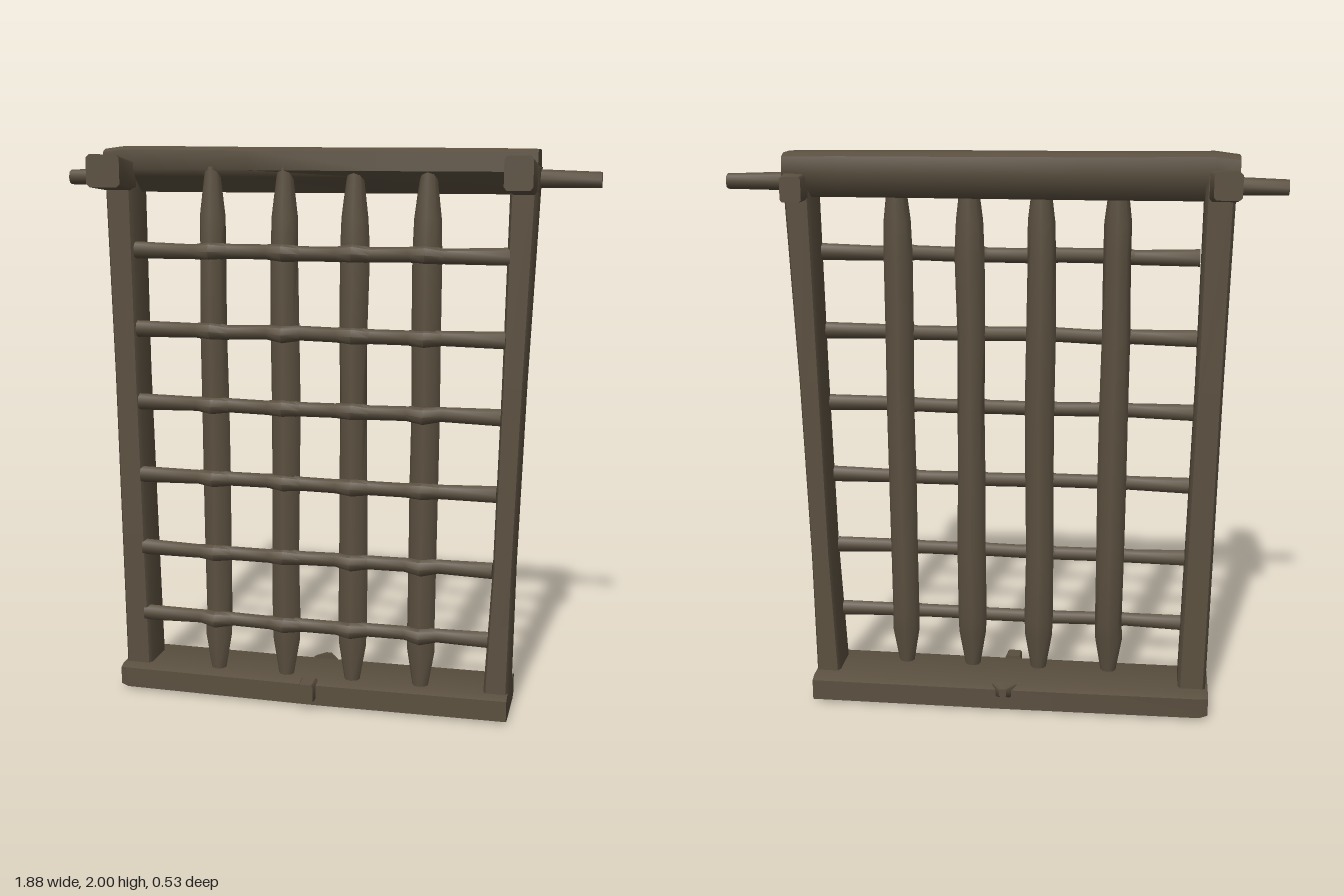
import * as THREE from 'three';
import { toCreasedNormals } from 'three/addons/utils/BufferGeometryUtils.js';

const wood = new THREE.MeshStandardMaterial({ color: 0x5b5040 });
wood.name = 'dark wood';

// Unit cross-sections, counter-clockwise
const square = [[1, 0.8], [0.8, 1], [-0.8, 1], [-1, 0.8], [-1, -0.8], [-0.8, -1], [0.8, -1], [1, -0.8]];
const round = Array.from({ length: 8 }, (_, i) => {
  const a = (i / 8) * Math.PI * 2;
  return [Math.cos(a), Math.sin(a)];
});
// Top beam: front lower edge cut away (u = y, v = z)
const beamProfile = [[0.85, 0.95], [0, 1], [-0.3, 0.7], [-1, -0.15], [-0.9, -0.5], [0.1, -1], [0.85, -0.85], [1, -0.5], [1, 0.6]]
  .reverse();

// Axis -> order of the coordinates (along, u, v), with u x v = along
const order = { x: [0, 1, 2], y: [1, 2, 0], z: [2, 0, 1] };

// Skins a profile through sections [along, u, v, halfU, halfV]
function loft(axis, profile, sections) {
  const pos = [], index = [], n = profile.length;
  const area = profile.reduce((s, p, i) => {
    const q = profile[(i + 1) % n];
    return s + p[0] * q[1] - p[1] * q[0];
  }, 0);
  const ring = area > 0 ? profile : [...profile].reverse();
  const put = (t, u, v) => {
    const p = [0, 0, 0];
    [t, u, v].forEach((value, i) => { p[order[axis][i]] = value; });
    pos.push(...p);
  };
  for (const [t, u, v, hu, hv] of sections) {
    for (const [a, b] of ring) put(t, u + a * hu, v + b * hv);
  }
  const last = (sections.length - 1) * n;
  for (let i = 0; i < last; i += n) {
    for (let j = 0; j < n; j++) {
      const k = (j + 1) % n;
      index.push(i + j, i + k, i + n + k, i + j, i + n + k, i + n + j);
    }
  }
  for (let j = 1; j < n - 1; j++) {
    index.push(0, j + 1, j, last, last + j, last + j + 1);
  }
  const g = new THREE.BufferGeometry();
  g.setAttribute('position', new THREE.Float32BufferAttribute(pos, 3));
  g.setIndex(index);
  return toCreasedNormals(g, 0.85);
}

export function createModel() {
  const model = new THREE.Group();
  model.name = 'gate';
  const add = (name, axis, profile, sections) => {
    const mesh = new THREE.Mesh(loft(axis, profile, sections), wood);
    mesh.name = name;
    model.add(mesh);
  };
  let seed = 7;
  const wobble = (size) => {
    seed = (seed * 16807) % 2147483647;
    return (seed / 2147483647 - 0.5) * 2 * size;
  };

  // Side posts, leaning slightly outwards towards the top
  add('rightPost', 'y', square, [
    [0.05, -0.02, -0.69, 0.08, 0.05],
    [0.6, -0.02, -0.7, 0.077, 0.048],
    [1.2, -0.02, -0.71, 0.075, 0.046],
    [1.93, -0.022, -0.72, 0.083, 0.05],
  ]);
  add('leftPost', 'y', square, [
    [0.05, -0.02, 0.645, 0.08, 0.045],
    [0.55, -0.02, 0.66, 0.077, 0.036],
    [1.2, -0.02, 0.676, 0.075, 0.038],
    [1.93, -0.022, 0.695, 0.083, 0.046],
  ]);

  // Rough-hewn top beam
  add('topBeam', 'x', beamProfile, [
    [-0.78, 1.915, -0.03, 0.075, 0.07],
    [-0.7, 1.92, -0.03, 0.08, 0.075],
    [-0.25, 1.918, -0.04, 0.078, 0.078],
    [0.2, 1.917, -0.035, 0.077, 0.092],
    [0.55, 1.917, -0.045, 0.076, 0.085],
    [0.735, 1.914, -0.045, 0.076, 0.08],
  ]);

  // Sill with a small peg on each side
  add('bottomSill', 'x', square, [
    [-0.75, 0.055, -0.03, 0.04, 0.12],
    [-0.72, 0.055, -0.03, 0.046, 0.133],
    [0, 0.052, -0.03, 0.047, 0.135],
    [0.69, 0.055, -0.035, 0.047, 0.135],
  ]);
  add('frontPeg', 'z', square, [[0.08, -0.025, 0.07, 0.03, 0.04], [0.145, -0.025, 0.07, 0.026, 0.035]]);
  add('backPeg', 'z', square, [[-0.19, -0.015, 0.09, 0.012, 0.015], [-0.14, -0.015, 0.08, 0.045, 0.03]]);

  // Axle through the top corners
  add('axle', 'x', round, [
    [-0.94, 1.89, -0.055, 0.026, 0.026],
    [-0.7, 1.893, -0.055, 0.032, 0.03],
    [0.7, 1.893, -0.055, 0.032, 0.03],
    [0.94, 1.89, -0.055, 0.026, 0.026],
  ]);

  // Short cross timbers at the top corners
  add('rightCrossTimber', 'z', square, [
    [-0.265, -0.735, 1.912, 0.045, 0.044],
    [-0.1, -0.73, 1.895, 0.048, 0.05],
    [0.05, -0.72, 1.9, 0.055, 0.053],
    [0.22, -0.708, 1.917, 0.06, 0.055],
  ]);
  add('leftCrossTimber', 'z', square, [
    [-0.17, 0.695, 1.875, 0.036, 0.042],
    [-0.05, 0.695, 1.885, 0.045, 0.05],
    [0.05, 0.695, 1.897, 0.042, 0.055],
    [0.265, 0.695, 1.916, 0.046, 0.054],
  ]);

  // Upright bars, pointed at both ends
  const uprights = [-0.385, -0.125, 0.122, 0.373];
  const rails = [0.295, 0.55, 0.825, 1.095, 1.36, 1.64];
  uprights.forEach((x, i) => {
    const sections = [[0.08, 0.03, x, 0.022, 0.025], [0.23, 0.025, x, 0.04, 0.05]];
    for (const y of rails) {
      sections.push([y, 0.022 + wobble(0.004), x + wobble(0.003), 0.045, 0.05 + wobble(0.003)]);
    }
    sections.push([1.76, 0.02, x, 0.042, 0.047], [1.93, 0.015, x, 0.028, 0.026]);
    add(`uprightBar${i + 1}`, 'y', round, sections);
  });

  // Thin cross rails, swelling where they pass over the uprights
  rails.forEach((y, i) => {
    const left = 0.615 + i * 0.008;
    const sections = [[-0.665, y, 0.042, 0.03, 0.024]];
    for (const x of uprights) {
      sections.push([x - 0.06, y + wobble(0.003), 0.045, 0.026, 0.024]);
      sections.push([x, y + wobble(0.003), 0.056, 0.034, 0.037]);
      sections.push([x + 0.06, y + wobble(0.003), 0.045, 0.026, 0.024]);
    }
    sections.push([left, y, 0.042, 0.03, 0.024]);
    add(`crossRail${i + 1}`, 'x', round, sections);
  });

  return model;
}
